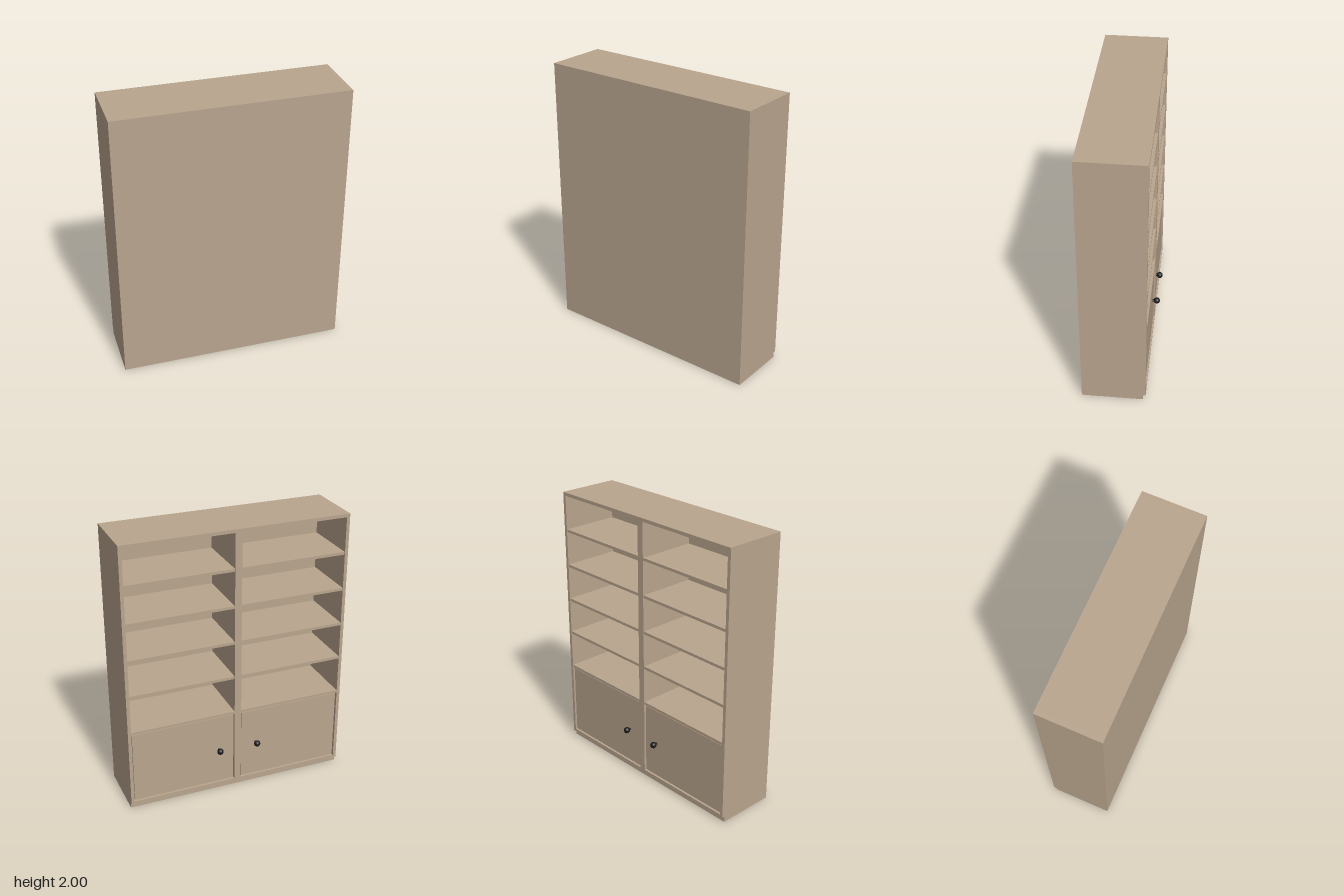
import * as THREE from 'three';

const wood = new THREE.MeshStandardMaterial({ color: 0xb9a58e });
const black = new THREE.MeshStandardMaterial({ color: 0x1c1c1c });

// Overall limits of the carcass; the open side faces -z
const W = 0.82, BACK = 0.25, OPEN = -0.205, T = 0.024, BASE = 0.04;

// Box given by its minimum and maximum corners
function panel(parent, name, x0, x1, y0, y1, z0, z1) {
  const mesh = new THREE.Mesh(new THREE.BoxGeometry(x1 - x0, y1 - y0, z1 - z0), wood);
  mesh.position.set((x0 + x1) / 2, (y0 + y1) / 2, (z0 + z1) / 2);
  mesh.name = name;
  parent.add(mesh);
}

export function createModel() {
  const model = new THREE.Group();
  model.name = 'cabinet';

  // Carcass
  panel(model, 'plinth', -W, W, 0, BASE, -0.185, BACK);
  panel(model, 'bottomPanel', -W + T, W - T, BASE, 0.06, OPEN, BACK);
  panel(model, 'topPanel', -W + T, W - T, 2 - T, 2, OPEN, BACK);
  panel(model, 'backPanel', -W + T, W - T, 0.06, 2 - T, BACK - 0.025, BACK);
  panel(model, 'divider', -0.025, 0.025, 0.06, 2 - T, OPEN, BACK - 0.025);

  for (const s of [-1, 1]) {
    const side = s < 0 ? 'right' : 'left';
    const span = (a, b) => (s < 0 ? [-b, -a] : [a, b]);
    panel(model, side + 'SidePanel', ...span(W - T, W), BASE, 2, OPEN, BACK);

    // Shelves, the lowest one covering the cupboard
    for (const top of [0.63, 0.915, 1.185, 1.455, 1.725]) {
      panel(model, side + 'Shelf', ...span(0.025, W - T), top - 0.02, top, OPEN + 0.003, BACK - 0.025);
    }

    // Inset door with a narrow gap all round
    const door = new THREE.Group();
    door.name = side + 'Door';
    panel(door, 'doorPanel', ...span(0.031, W - T - 0.006), 0.066, 0.602, OPEN + 0.01, OPEN + 0.03);

    // Round knob on a short stem
    const knob = new THREE.Mesh(new THREE.SphereGeometry(0.023, 24, 16), black);
    knob.position.set(s * 0.145, 0.335, -0.227);
    knob.name = 'knob';
    const stem = new THREE.Mesh(new THREE.CylinderGeometry(0.008, 0.008, 0.025, 16), black);
    stem.rotation.x = Math.PI / 2;
    stem.position.set(s * 0.145, 0.335, -0.204);
    stem.name = 'knobStem';
    door.add(knob, stem);
    model.add(door);
  }
  return model;
}
